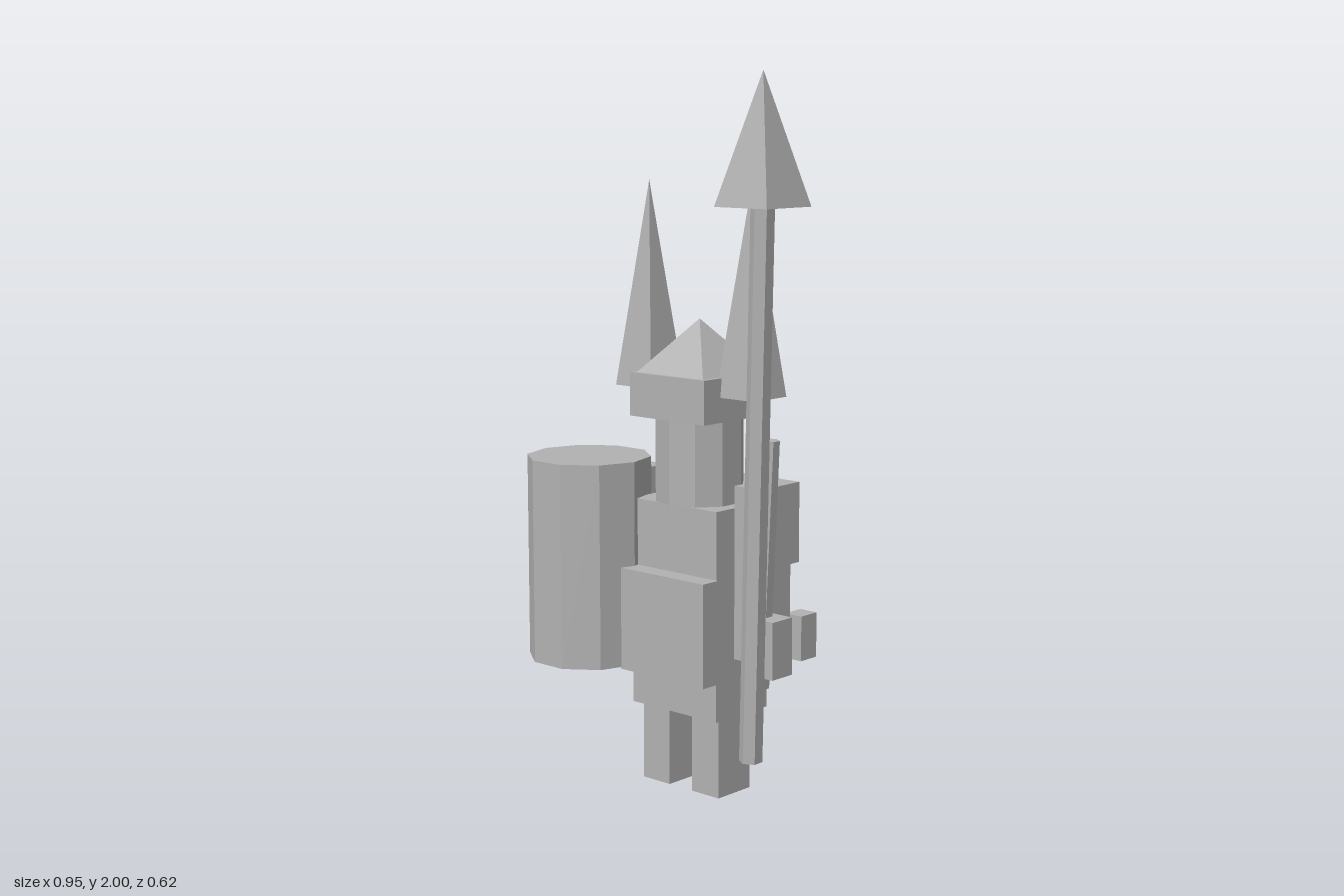
import * as THREE from 'three';

export function createModel() {
  const group = new THREE.Group();
  const grey = new THREE.MeshStandardMaterial({ color: 0xb2b2b2 });
  grey.name = 'stone grey';
  grey.flatShading = true;

  const add = (name, geometry) => {
    const mesh = new THREE.Mesh(geometry, grey);
    mesh.name = name;
    group.add(mesh);
    return mesh;
  };

  // Box given by its limits along each axis
  const box = (name, [x0, x1], [y0, y1], [z0, z1]) =>
    add(name, new THREE.BoxGeometry(x1 - x0, y1 - y0, z1 - z0))
      .position.set((x0 + x1) / 2, (y0 + y1) / 2, (z0 + z1) / 2);

  // Four-sided pyramid with its base square to the axes
  const pyramid = (name, x, z, y0, y1, half) => {
    const geometry = new THREE.ConeGeometry(half * Math.SQRT2, y1 - y0, 4);
    geometry.rotateY(Math.PI / 4);
    add(name, geometry).position.set(x, (y0 + y1) / 2, z);
  };

  // Six-sided pole between two points
  const pole = (name, from, to, radius) => {
    const a = new THREE.Vector3(...from), b = new THREE.Vector3(...to);
    const dir = b.clone().sub(a);
    const mesh = add(name, new THREE.CylinderGeometry(radius, radius, dir.length(), 6));
    mesh.position.copy(a).add(b).multiplyScalar(0.5);
    mesh.quaternion.setFromUnitVectors(new THREE.Vector3(0, 1, 0), dir.normalize());
  };

  const cx = 0.0125; // the figure's own centre line

  // Legs, arms and helmet horns
  for (const [side, s] of [['left', 1], ['right', -1]]) {
    const span = (a, b) => [cx + s * a, cx + s * b].sort((p, q) => p - q);
    box(`${side}Leg`, span(0.043, 0.143), [0, 0.228], [-0.04, 0.0925]);
    box(`${side}Arm`, span(0.185, 0.278), [0.405, 0.89], [-0.051, 0.076]);
    pyramid(`${side}Horn`, cx + s * 0.189, 0.0135, 1.127, 1.704, 0.068);
  }

  // Body
  box('torso', [-0.145, 0.171], [0.228, 0.82], [-0.094, 0.12]);
  box('frontPlate', [-0.134, 0.177], [0.338, 0.63], [0.12, 0.181]);
  box('backpack', [-0.135, 0.16], [0.619, 0.852], [-0.247, -0.085]);
  box('pouch', [0.11, 0.171], [0.328, 0.46], [-0.316, -0.247]);

  // Head and helmet
  add('head', new THREE.CylinderGeometry(0.125, 0.125, 0.24, 10)).position.set(cx, 0.94, cx);
  box('helmetBrim', [-0.126, 0.15], [1.058, 1.18], [-0.124, 0.147]);
  pyramid('helmetTop', cx, cx, 1.18, 1.328, 0.123);

  // Ten-sided shield with corners pointing sideways
  const shield = new THREE.CylinderGeometry(0.178, 0.178, 0.583, 10);
  shield.rotateY(Math.PI / 2);
  add('shield', shield).position.set(-0.297, 0.6345, 0.139);

  // Weapons
  pole('spearShaft', [0.338, 0.167, 0.168], [0.384, 1.654, 0.183], 0.032);
  pyramid('spearHead', 0.384, 0.183, 1.654, 2, 0.0885);
  pole('clubHandle', [0.278, 0.338, 0.062], [0.311, 1.026, 0.062], 0.0265);
  box('hand', [0.26, 0.358], [0.38, 0.54], [0.021, 0.103]);

  return group;
}
